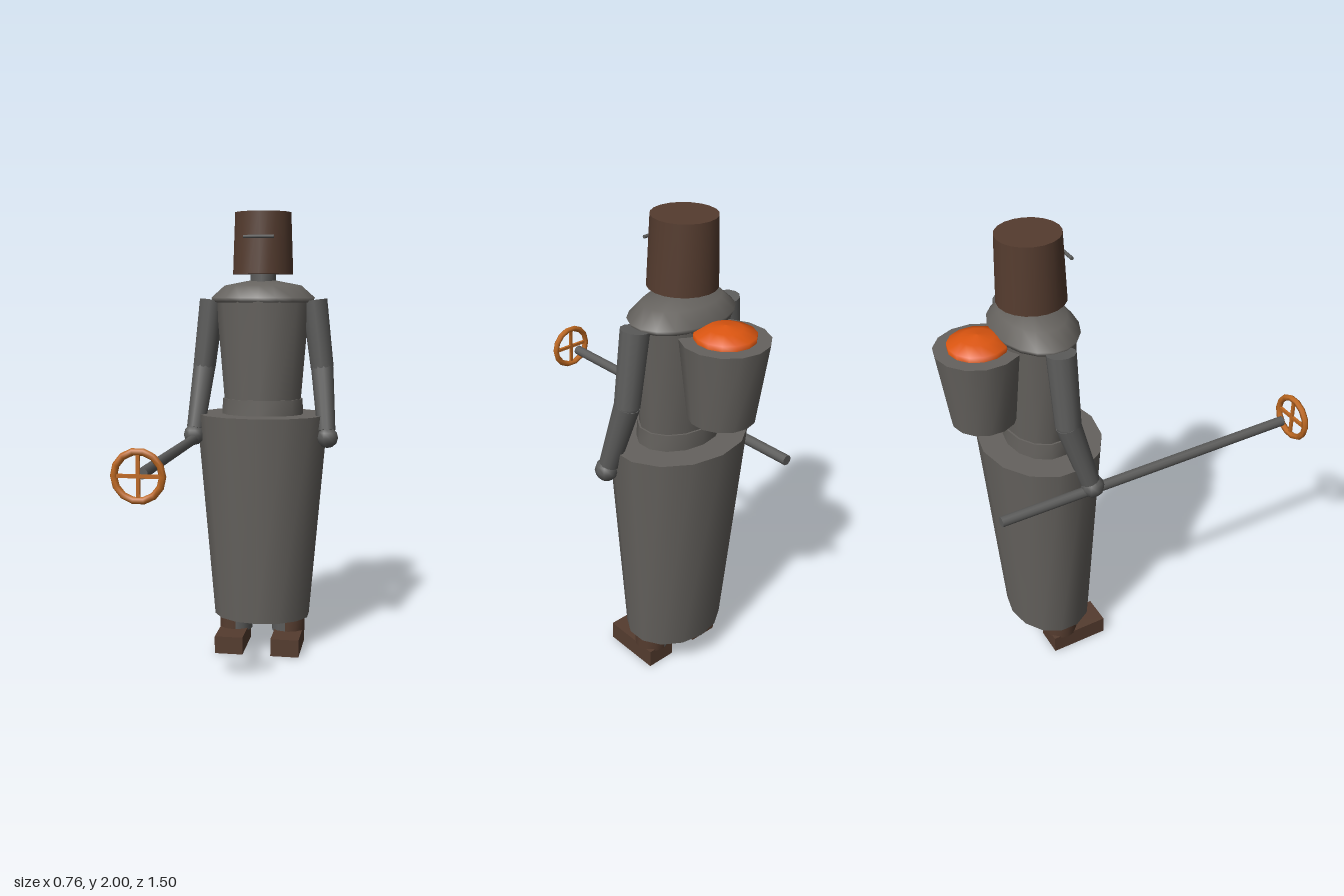
import * as THREE from 'three';

const mat = (name, color) => {
  const m = new THREE.MeshStandardMaterial({ color });
  m.name = name;
  return m;
};

export function createModel() {
  const robe = mat('warm grey', 0x65625e);
  const steel = mat('steel grey', 0x5c5c5b);
  const brown = mat('dark brown', 0x553c2f);
  const orange = mat('bright orange', 0xdb5510);
  const copper = mat('copper', 0xc06a22);

  const model = new THREE.Group();
  model.name = 'armouredFigure';
  const CX = 0.028, CZ = -0.346;

  const add = (name, geometry, material, x, y, z, parent = model) => {
    const mesh = new THREE.Mesh(geometry, material);
    mesh.name = name;
    mesh.position.set(x, y, z);
    parent.add(mesh);
    return mesh;
  };

  // Upright tapered tube with an oval section, from height y0 to y1
  const taper = (name, material, y0, y1, bottom, top, z = CZ, x = CX, sides = 14) => {
    const g = new THREE.CylinderGeometry(1, 1, y1 - y0, sides);
    const p = g.attributes.position;
    for (let i = 0; i < p.count; i++) {
      const [rx, rz] = p.getY(i) > 0 ? top : bottom;
      p.setX(i, p.getX(i) * rx);
      p.setZ(i, p.getZ(i) * rz);
    }
    g.computeVertexNormals();
    // Weld the shading across the seam column
    const n = g.attributes.normal;
    for (const row of [0, sides + 1]) {
      n.setXYZ(row, 0, n.getY(row), 1);
      n.setXYZ(row + sides, 0, n.getY(row), 1);
    }
    return add(name, g, material, x, (y0 + y1) / 2, z);
  };

  // Tapered limb between two points
  const limb = (name, material, a, b, ra, rb, parent) => {
    const A = new THREE.Vector3(...a), B = new THREE.Vector3(...b);
    const d = B.clone().sub(A);
    const mesh = add(name, new THREE.CylinderGeometry(rb, ra, d.length(), 12), material, 0, 0, 0, parent);
    mesh.position.copy(A).add(B).multiplyScalar(0.5);
    mesh.quaternion.setFromUnitVectors(new THREE.Vector3(0, 1, 0), d.normalize());
    return mesh;
  };

  // Skirt, waist and torso
  taper('skirt', robe, 0.145, 1.095, [0.223, 0.18], [0.305, 0.248]);
  taper('waistBand', robe, 1.09, 1.165, [0.188, 0.142], [0.185, 0.14]);
  taper('torso', robe, 1.16, 1.61, [0.177, 0.132], [0.214, 0.16]);

  // Sloping shoulder collar
  const collarProfile = [[0.2, 1.6], [0.226, 1.602], [0.237, 1.622], [0.175, 1.677], [0.065, 1.698], [0, 1.698]]
    .map(([r, y]) => new THREE.Vector2(r, y));
  const collar = add('collar', new THREE.LatheGeometry(collarProfile, 18), robe, CX, 0, CZ);
  collar.scale.z = 0.7;

  // Neck and bucket helmet with eye slit
  taper('neck', steel, 1.68, 1.74, [0.058, 0.058], [0.058, 0.058]);
  taper('helmet', brown, 1.727, 2, [0.137, 0.137], [0.127, 0.127], CZ, CX, 20);
  const slit = add('eyeSlit', new THREE.CylinderGeometry(0.007, 0.007, 0.135, 8), steel, CX, 1.888, -0.204);
  slit.rotation.z = Math.PI / 2;

  // Arms, legs and feet, mirrored
  for (const s of [-1, 1]) {
    const side = s > 0 ? 'left' : 'right';
    const arm = new THREE.Group();
    arm.name = side + 'Arm';
    model.add(arm);
    const elbow = [CX + s * 0.272, 1.31, CZ];
    limb('upperArm', steel, [CX + s * 0.234, 1.612, CZ], elbow, 0.058, 0.052, arm);
    limb('forearm', steel, elbow, [CX + s * 0.3, 1.03, -0.272], 0.051, 0.041, arm);
    add('elbow', new THREE.SphereGeometry(0.049, 12, 8), steel, ...elbow, arm);
    add('hand', new THREE.SphereGeometry(0.048, 10, 6), steel, CX + s * 0.306, 1.0, -0.262, arm);

    const x = CX + s * 0.129;
    taper(side + 'Shin', steel, 0.07, 0.3, [0.07, 0.07], [0.07, 0.07], CZ, x - s * 0.012, 12);
    taper(side + 'Boot', brown, 0.07, 0.16, [0.073, 0.073], [0.073, 0.073], CZ, x, 12);
    add(side + 'Foot', new THREE.BoxGeometry(0.129, 0.08, 0.254), brown, x, 0.04, -0.283);
  }

  // Tank on the back with a domed lid
  const TZ = -0.577;
  taper('backTank', robe, 1.262, 1.587, [0.131, 0.131], [0.172, 0.172], TZ);
  const lidProfile = [[0.118, 1.58], [0.118, 1.608], [0.065, 1.629], [0, 1.64]]
    .map(([r, y]) => new THREE.Vector2(r, y));
  add('tankLid', new THREE.LatheGeometry(lidProfile, 14), orange, CX, 0, TZ);

  // Long pole held in the right hand
  const PX = -0.276, PY = 0.981;
  const pole = add('pole', new THREE.CylinderGeometry(0.022, 0.022, 1.35, 12), steel, PX, PY, 0.01);
  pole.rotation.x = Math.PI / 2;

  // Spoked ring in front of the pole
  const wheel = new THREE.Group();
  wheel.name = 'spokedRing';
  wheel.position.set(PX, PY, 0.741);
  model.add(wheel);
  add('rim', new THREE.TorusGeometry(0.092, 0.014, 6, 14), copper, 0, 0, 0, wheel);
  add('crossSpoke', new THREE.BoxGeometry(0.184, 0.014, 0.012), copper, 0, 0, 0, wheel);
  add('uprightSpoke', new THREE.BoxGeometry(0.014, 0.184, 0.011), copper, 0, 0, 0, wheel);

  return model;
}
